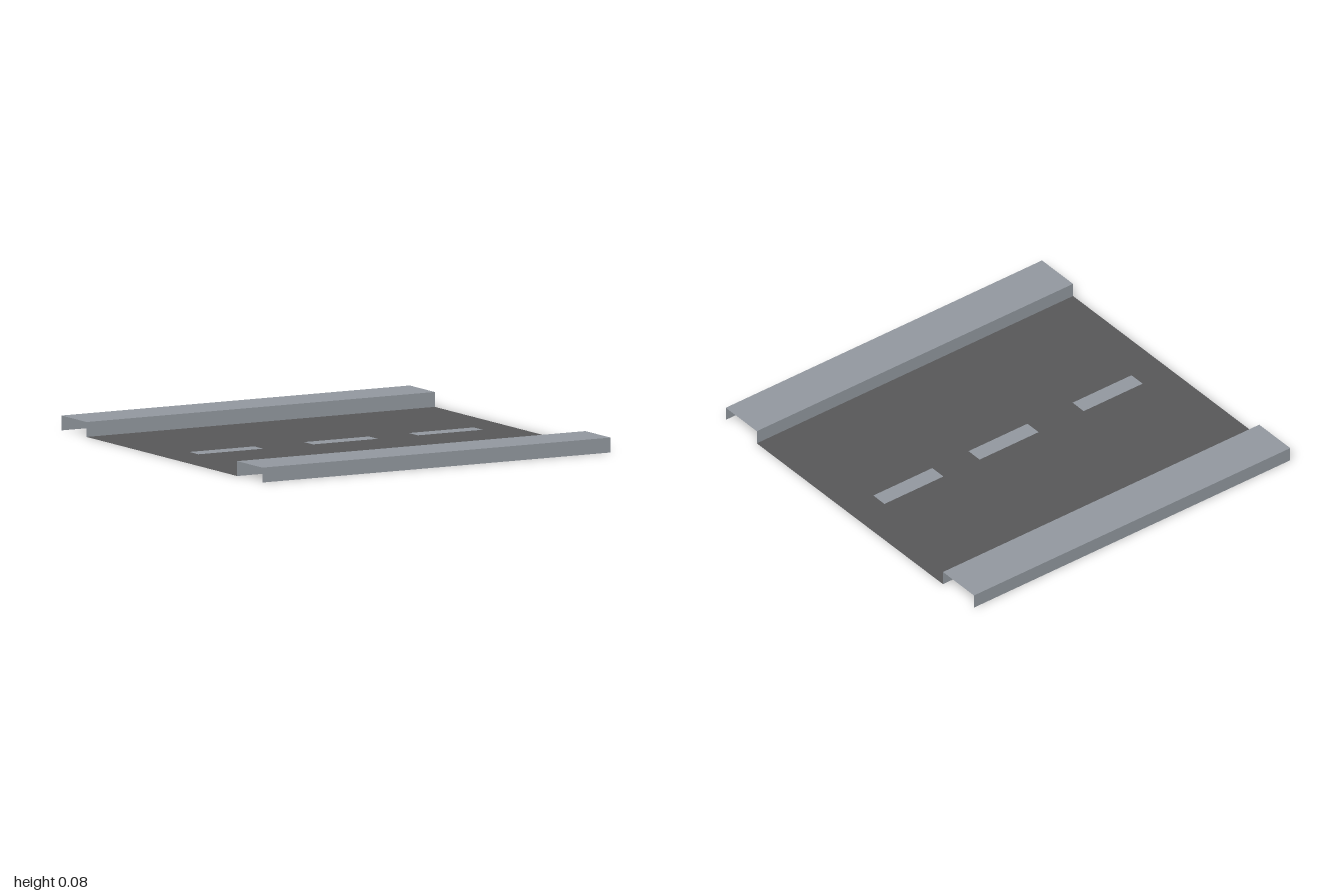
import * as THREE from 'three';

const asphalt = new THREE.MeshStandardMaterial({ color: 0x59595a, side: THREE.DoubleSide });
asphalt.name = 'asphalt';
const concrete = new THREE.MeshStandardMaterial({ color: 0x949aa1, side: THREE.DoubleSide });
concrete.name = 'concrete grey';

const LENGTH = 2, HALF_WIDTH = 1, KERB_Z = 0.75, KERB_H = 0.075;

// Flat sheet facing up, centred on (x, y, z)
function flat(name, material, width, depth, x, y, z) {
  const geometry = new THREE.PlaneGeometry(width, depth).rotateX(-Math.PI / 2);
  const mesh = new THREE.Mesh(geometry, material);
  mesh.name = name;
  mesh.position.set(x, y, z);
  return mesh;
}

// Upright kerb face running along x; facing is +1 for +z, -1 for -z
function wall(name, z, facing) {
  const geometry = new THREE.PlaneGeometry(LENGTH, KERB_H);
  if (facing < 0) geometry.rotateY(Math.PI);
  const mesh = new THREE.Mesh(geometry, concrete);
  mesh.name = name;
  mesh.position.set(0, KERB_H / 2, z);
  return mesh;
}

export function createModel() {
  const model = new THREE.Group();
  model.name = 'roadSection';

  // Road surface
  model.add(flat('roadSurface', asphalt, LENGTH, KERB_Z * 2, 0, 0, 0));

  // Raised pavements, open underneath and at the ends
  for (const side of [1, -1]) {
    const pavement = new THREE.Group();
    pavement.name = side > 0 ? 'frontPavement' : 'backPavement';
    const depth = HALF_WIDTH - KERB_Z;
    pavement.add(
      flat('pavementTop', concrete, LENGTH, depth, 0, KERB_H, side * (KERB_Z + depth / 2)),
      wall('innerKerb', side * KERB_Z, -side),
      wall('outerKerb', side * HALF_WIDTH, side)
    );
    model.add(pavement);
  }

  // Dashed centre line, unevenly spaced
  for (const x of [-0.63, 0.028, 0.63]) {
    model.add(flat('laneDash', concrete, 0.373, 0.09, x, 0.003, 0));
  }
  return model;
}
